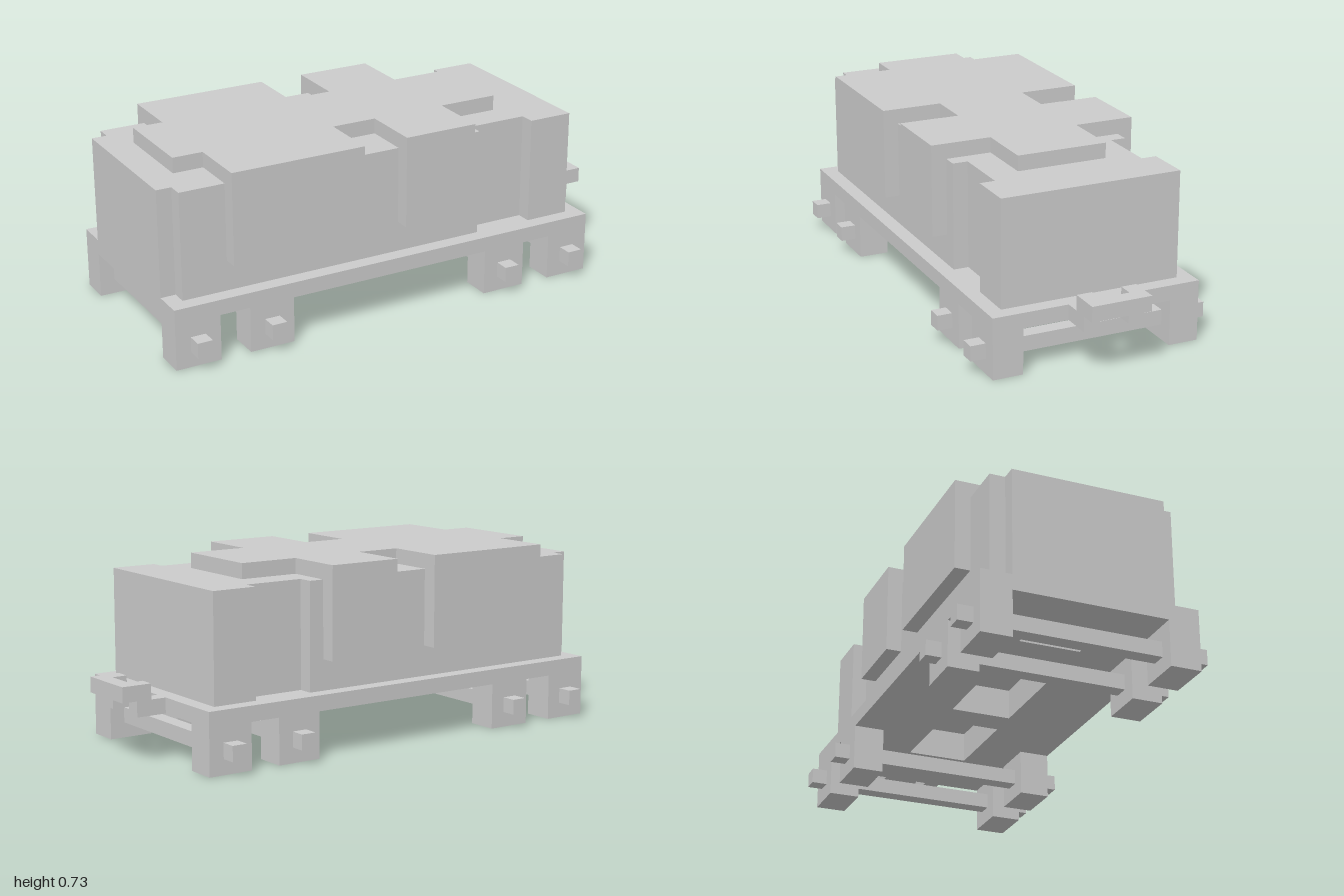
import * as THREE from 'three';

// Everything sits on a block grid, 33 blocks long; x counts from the rear end.
const U = 2 / 33;
const gx = (n) => n * U - 1;

export function createModel() {
  const model = new THREE.Group();
  const material = new THREE.MeshStandardMaterial({ color: 0xcccccc, flatShading: true });

  function add(name, geometry) {
    const mesh = new THREE.Mesh(geometry, material);
    mesh.name = name;
    model.add(mesh);
  }

  // Box between grid planes
  function block(name, x0, x1, y0, y1, z0, z1) {
    const g = new THREE.BoxGeometry((x1 - x0) * U, (y1 - y0) * U, (z1 - z0) * U);
    g.translate(gx((x0 + x1) / 2), ((y0 + y1) / 2) * U, ((z0 + z1) / 2) * U);
    add(name, g);
  }

  // Plan outline from its half profile [x, z], mirrored across z and raised from y0 to y1
  function slab(name, half, y0, y1, holes = []) {
    const mirrored = half.map(([x, z]) => [x, -z]).reverse();
    const points = (list) => list.map(([x, z]) => new THREE.Vector2(gx(x), z * U));
    const shape = new THREE.Shape(points([...half, ...mirrored]));
    for (const [x0, x1, z] of holes) {
      shape.holes.push(new THREE.Path(points([[x0, -z], [x1, -z], [x1, z], [x0, z]])));
    }
    const g = new THREE.ExtrudeGeometry(shape, { depth: (y1 - y0) * U, bevelEnabled: false });
    g.rotateX(-Math.PI / 2);
    g.translate(0, y0 * U, 0);
    add(name, g);
  }

  // Deck and body, with recesses opening in the underside
  const recesses = [[3, 6, 2], [8, 17, 2], [19, 25, 2]];
  const bodyPlan = [[0, 5], [1, 5], [1, 6], [22, 6], [22, 5], [26, 5], [26, 6], [29, 6]];
  slab('deck', [[0, 7], [30, 7]], 3, 4, recesses);
  slab('bodyBase', bodyPlan, 4, 5, recesses);
  slab('body', bodyPlan, 5, 11);

  // Raised roof with two side wings
  slab('roof', [[2, 3], [4, 3], [4, 7], [13, 7], [13, 3], [16, 3], [16, 7], [21, 7], [21, 3], [25, 3]], 11, 12);

  // Parts on both sides
  for (const s of [-1, 1]) {
    const side = s > 0 ? 'left' : 'right';
    const sided = (name, x0, x1, y0, y1, a, b) =>
      block(side + name, x0, x1, y0, y1, Math.min(s * a, s * b), Math.max(s * a, s * b));
    sided('LongPanel', 4, 13, 6, 11, 6, 7);
    sided('ShortPanel', 16, 21, 6, 11, 6, 7);
    for (const x of [0, 5, 22, 27]) sided('WheelBlock', x, x + 3, 0, 3, 5, 7);
    sided('CouplerArm', 30, 32, 3, 4, 1, 2);
    sided('CouplerStep', 31, 32, 4, 5, 1, 2);
  }

  // Axles through the wheel blocks
  for (const x of [1, 6, 23, 28]) block('axle', x, x + 1, 1, 2, -8, 8);

  // Coupler cross bar
  block('couplerBar', 32, 33, 4, 5, -2, 2);

  return model;
}
